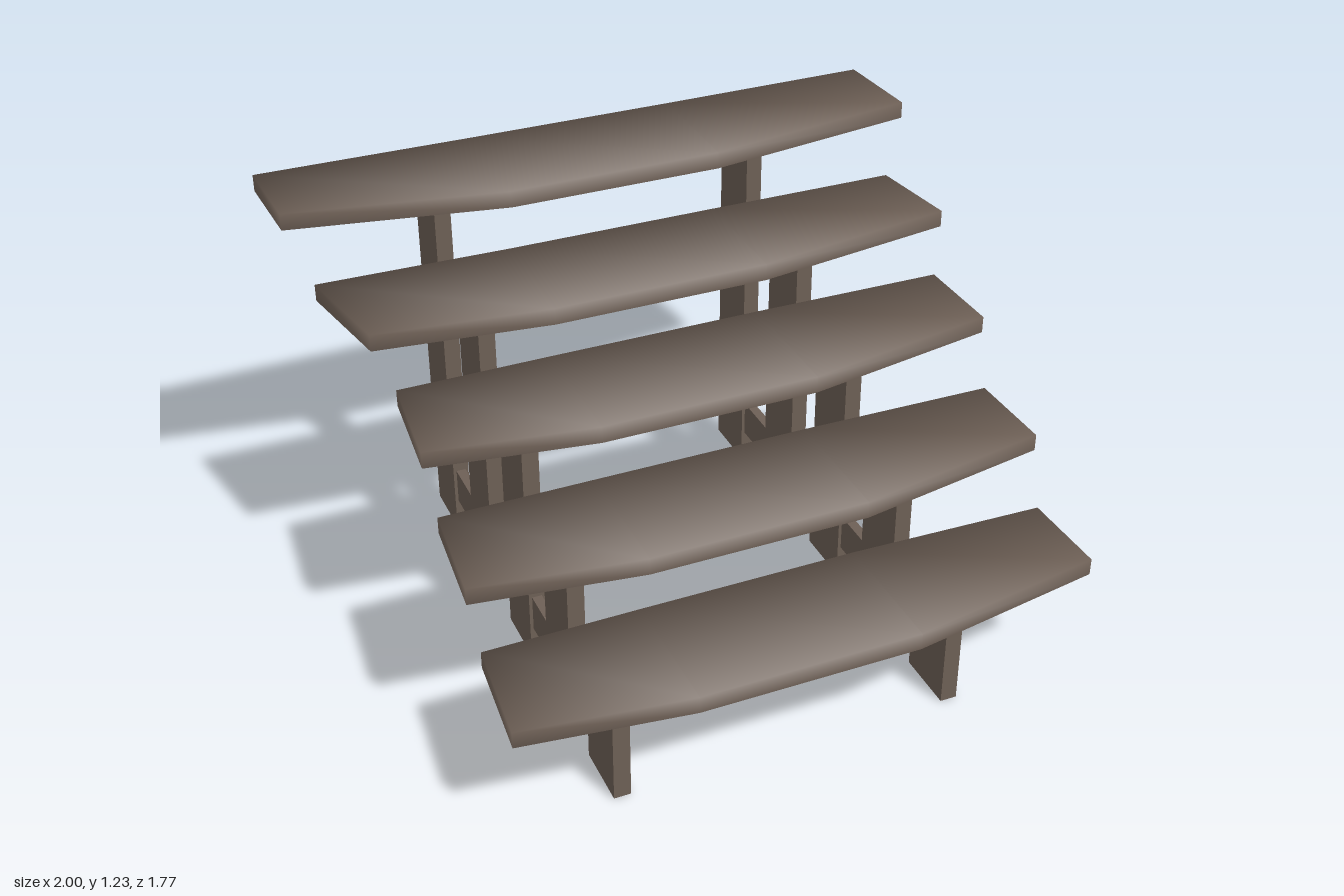
import * as THREE from 'three';

const wood = new THREE.MeshStandardMaterial({ color: 0x6e6056 });
wood.name = 'weatheredWood';

const THICK = 0.052; // plank thickness
const LIFT = 0.014; // how far the plank ends curve upward

// y: underside at the middle; mid: [back z, front z]
// ends: [back x, back z, front x, front z]; post: post centre z
const steps = [
  { y: 0.33, mid: [0.475, 0.88], left: [-0.8, 0.495, -0.83, 0.83], right: [0.92, 0.51, 0.925, 0.79], post: 0.668 },
  { y: 0.551, mid: [0.14, 0.547], left: [-0.8, 0.16, -0.83, 0.495], right: [0.92, 0.17, 0.925, 0.455], post: 0.345 },
  { y: 0.77, mid: [-0.2, 0.21], left: [-0.8, -0.175, -0.83, 0.155], right: [0.92, -0.17, 0.925, 0.12], post: 0.008 },
  { y: 0.96, mid: [-0.533, -0.14], left: [-0.925, -0.52, -0.86, -0.18], right: [0.92, -0.505, 0.958, -0.215], post: -0.335 },
  { y: 1.168, mid: [-0.888, -0.49], left: [-1, -0.865, -0.988, -0.585], right: [0.982, -0.865, 1, -0.57], post: -0.705 },
];

// Plank lofted through four cross-sections; top and edges share soft normals
function plankGeometry({ y, mid, left, right }) {
  const sections = [
    [...left, LIFT, -1],
    [-0.33, mid[0], -0.33, mid[1], 0, 0],
    [0.33, mid[0], 0.33, mid[1], 0, 0],
    [...right, LIFT, 1],
  ].map(([bx, bz, fx, fz, lift, end]) => {
    const low = y + lift, high = low + THICK;
    const corner = (x, h, z, nx, ny, nz) => ({
      p: [x, h, z], n: new THREE.Vector3(nx, ny, nz).normalize().toArray(),
    });
    return {
      backTop: corner(bx, high, bz, end, 1, -1),
      frontTop: corner(fx, high, fz, end, 1, 1),
      backLow: corner(bx, low, bz, end, 0, -1),
      frontLow: corner(fx, low, fz, end, 0, 1),
      backUnder: corner(bx, low, bz, 0, -1, 0),
      frontUnder: corner(fx, low, fz, 0, -1, 0),
    };
  });
  const positions = [], normals = [];
  const quad = (a, b, c, d) => [a, b, c, a, c, d].forEach((v) => {
    positions.push(...v.p);
    normals.push(...v.n);
  });
  for (let i = 0; i < 3; i++) {
    const s = sections[i], t = sections[i + 1];
    quad(s.backTop, s.frontTop, t.frontTop, t.backTop);
    quad(s.frontTop, s.frontLow, t.frontLow, t.frontTop);
    quad(s.backLow, s.backTop, t.backTop, t.backLow);
    quad(s.frontUnder, s.backUnder, t.backUnder, t.frontUnder);
  }
  const l = sections[0], r = sections[3];
  quad(l.backTop, l.backLow, l.frontLow, l.frontTop);
  quad(r.frontTop, r.frontLow, r.backLow, r.backTop);
  const g = new THREE.BufferGeometry();
  g.setAttribute('position', new THREE.Float32BufferAttribute(positions, 3));
  g.setAttribute('normal', new THREE.Float32BufferAttribute(normals, 3));
  return g;
}

export function createModel() {
  const model = new THREE.Group();
  model.name = 'woodenSteps';

  const box = (name, w, h, d, x, y, z) => {
    const mesh = new THREE.Mesh(new THREE.BoxGeometry(w, h, d), wood);
    mesh.name = name;
    mesh.position.set(x, y, z);
    model.add(mesh);
  };

  // Treads, each on a pair of posts
  steps.forEach((step, i) => {
    const tread = new THREE.Mesh(plankGeometry(step), wood);
    tread.name = `tread${i + 1}`;
    model.add(tread);
    const h = step.y + 0.01;
    for (const [side, x] of [['left', 0.507], ['right', -0.507]]) {
      box(`${side}Post${i + 1}`, 0.05, h, 0.19, x, h / 2, step.post);
    }
  });

  // Low rails tying each row of posts together
  const front = steps[0].post, back = steps[4].post;
  for (const [side, x] of [['left', 0.507], ['right', -0.507]]) {
    box(`${side}Rail`, 0.03, 0.115, front - back, x, 0.157, (front + back) / 2);
  }
  return model;
}
